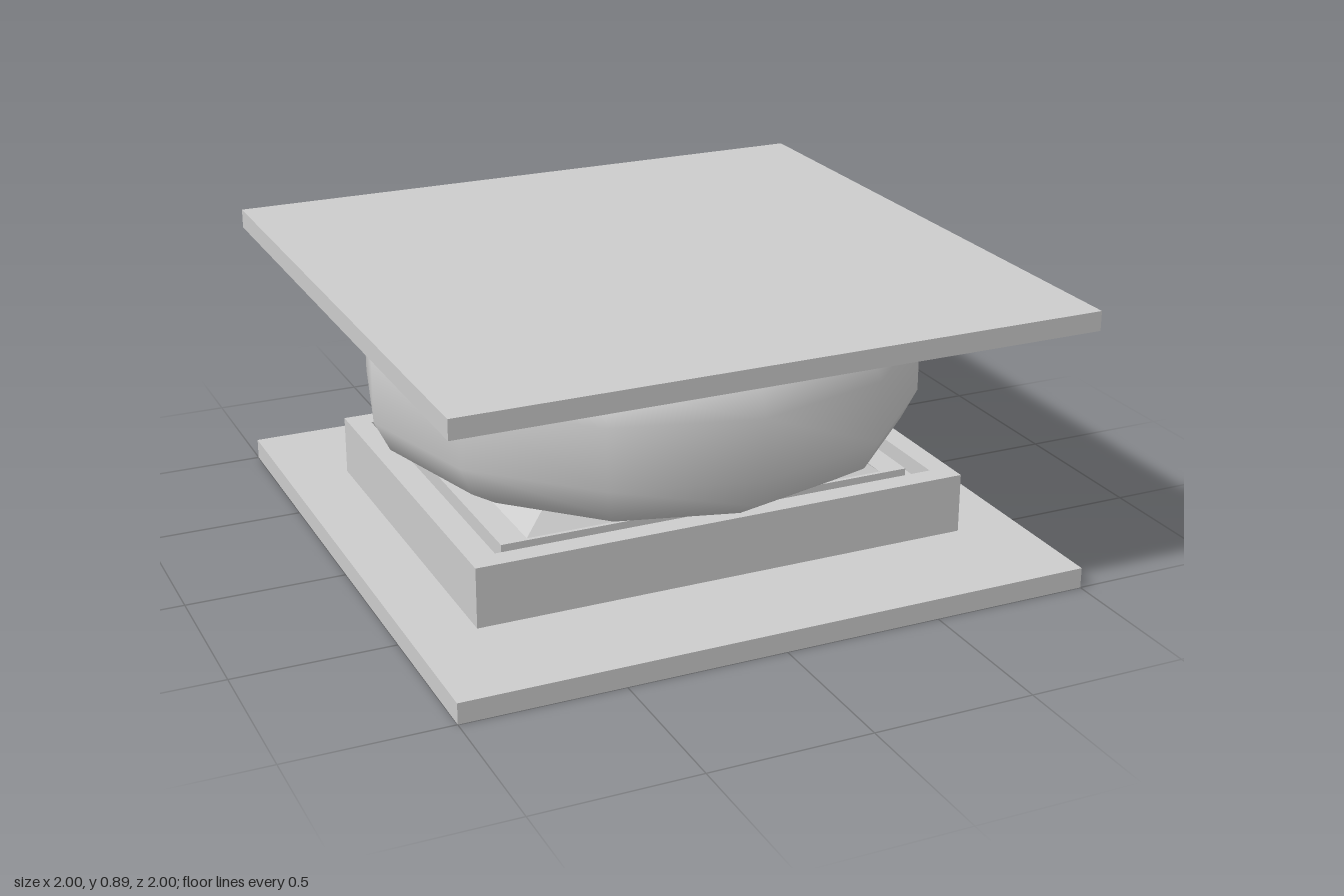
import * as THREE from 'three';

const grey = new THREE.MeshStandardMaterial({ color: 0xcccccc });
const faceted = new THREE.MeshStandardMaterial({ color: 0xcccccc, flatShading: true });

export function createModel() {
  const model = new THREE.Group();

  const add = (name, geometry, x, y, z, material = grey) => {
    const mesh = new THREE.Mesh(geometry, material);
    mesh.name = name;
    mesh.position.set(x, y, z);
    model.add(mesh);
    return mesh;
  };
  // Box given by its full width and depth and its bottom and top heights
  const slab = (name, w, d, y0, y1) =>
    add(name, new THREE.BoxGeometry(w, y1 - y0, d), 0, (y0 + y1) / 2, 0);

  // Square plates at bottom and top
  slab('basePlate', 2, 2, 0, 0.065);
  slab('topPlate', 2, 2, 0.827, 0.888);

  // Pedestal: outer wall around a groove, with a plinth inside
  const rectangle = (target, w, d) => {
    target.moveTo(-w, -d);
    target.lineTo(w, -d);
    target.lineTo(w, d);
    target.lineTo(-w, d);
    target.closePath();
    return target;
  };
  const wallShape = rectangle(new THREE.Shape(), 0.8, 0.617);
  wallShape.holes.push(rectangle(new THREE.Path(), 0.73, 0.547));
  const wall = new THREE.ExtrudeGeometry(wallShape, { depth: 0.19, bevelEnabled: false });
  wall.rotateX(-Math.PI / 2);
  add('pedestalWall', wall, 0, 0.065, 0);
  slab('pedestalFloor', 1.47, 1.1, 0.06, 0.2);
  slab('plinth', 1.35, 0.985, 0.19, 0.25);

  // Four bevelled pads, two by two, under the cushion
  for (const sx of [-1, 1]) {
    for (const sz of [-1, 1]) {
      const pad = new THREE.CylinderGeometry(0.72 * Math.SQRT2, Math.SQRT2, 0.055, 4);
      pad.rotateY(Math.PI / 4);
      pad.scale(0.275, 1, 0.225);
      add('supportPad', pad, sx * 0.315, 0.2775, sz * 0.255, faceted);
    }
  }

  // Rounded twelve-sided cushion, its crown sunk into the top plate
  const half = [[0, 0.29], [0.5, 0.285], [0.72, 0.257], [0.825, 0.192], [0.873, 0.096]];
  const profile = [
    ...half.map(([r, h]) => new THREE.Vector2(r, -h)),
    ...half.slice().reverse().map(([r, h]) => new THREE.Vector2(r, h)),
  ];
  add('cushion', new THREE.LatheGeometry(profile, 12), -0.016, 0.58, 0);

  return model;
}
